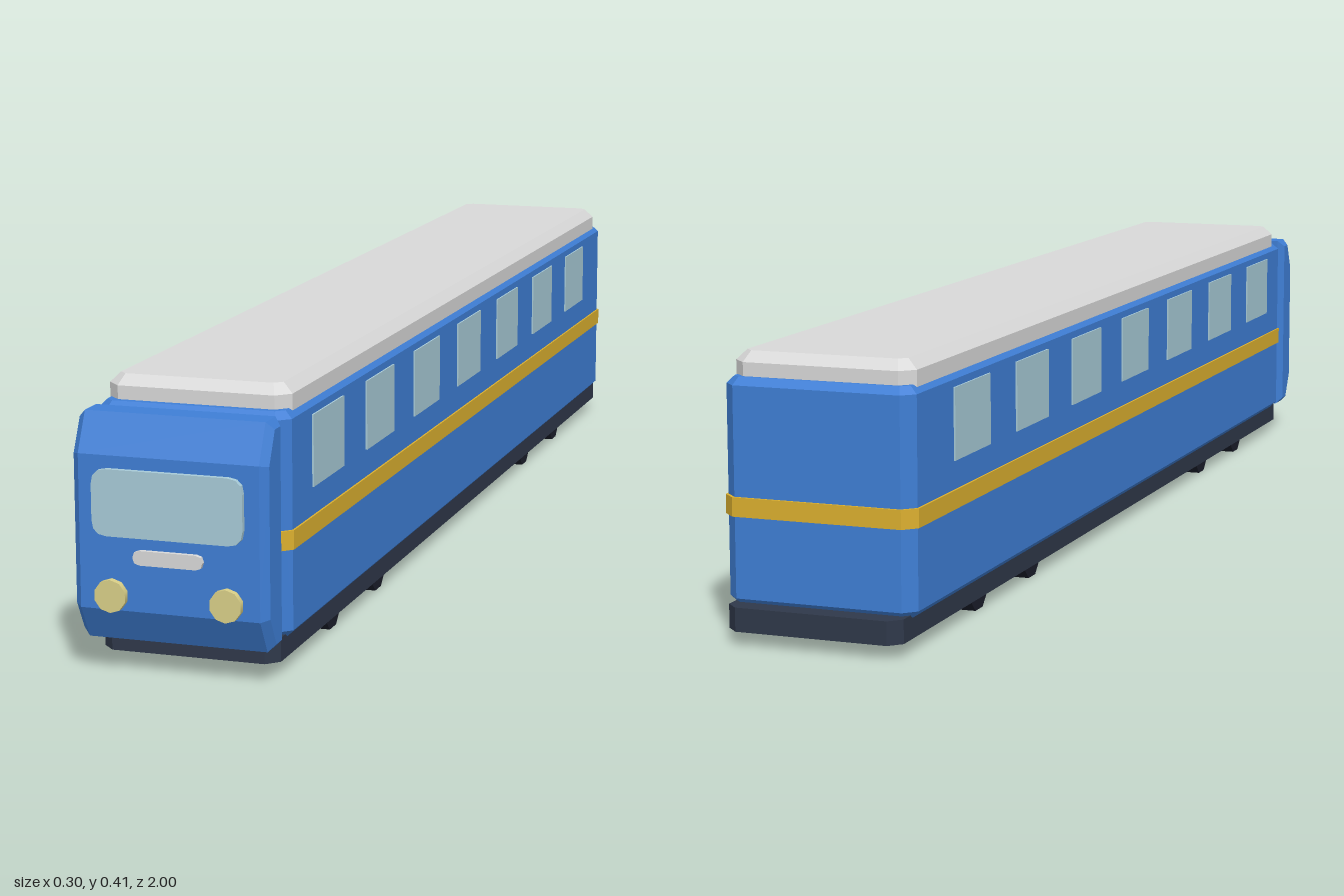
import * as THREE from 'three';

const mat = (name, color) => {
  const m = new THREE.MeshStandardMaterial({ color });
  m.name = name;
  return m;
};

// Rectangle outline with corners of radius r
function roundRect(w, h, r) {
  const s = new THREE.Shape(), x = w / 2, y = h / 2;
  s.moveTo(-x + r, -y);
  s.lineTo(x - r, -y);
  s.quadraticCurveTo(x, -y, x, -y + r);
  s.lineTo(x, y - r);
  s.quadraticCurveTo(x, y, x - r, y);
  s.lineTo(-x + r, y);
  s.quadraticCurveTo(-x, y, -x, y - r);
  s.lineTo(-x, -y + r);
  s.quadraticCurveTo(-x, -y, -x + r, -y);
  return s;
}

// Extrusion whose bevel stays inside the outline and the given total depth
function extrude(shape, depth, bevel, curveSegments) {
  const g = new THREE.ExtrudeGeometry(shape, {
    depth: depth - 2 * bevel, curveSegments, bevelEnabled: bevel > 0,
    bevelThickness: bevel, bevelSize: bevel, bevelOffset: -bevel, bevelSegments: 1,
  });
  return g.translate(0, 0, bevel);
}

// Horizontal slab with cut plan corners, from y0 to y1 and z0 to z1
function slab(width, y0, y1, z0, z1, corner, bevel) {
  return extrude(roundRect(width, z1 - z0, corner), y1 - y0, bevel, 1)
    .rotateX(-Math.PI / 2)
    .translate(0, y0, (z0 + z1) / 2);
}

export function createModel() {
  const group = new THREE.Group();
  group.name = 'railCoach';
  const blue = mat('bodyBlue', 0x3f7fd6);
  const grey = mat('roofGrey', 0xd9d9d9);
  const gold = mat('stripeGold', 0xdcb02f);
  const glass = mat('windowGlass', 0xa8cbd8);
  const lamp = mat('lampCream', 0xdad088);
  const dark = mat('chassisDark', 0x2f384a);
  const black = mat('wheelBlack', 0x1b1e2b);

  const add = (name, geometry, material, x = 0, y = 0, z = 0) => {
    const m = new THREE.Mesh(geometry, material);
    m.name = name;
    m.position.set(x, y, z);
    group.add(m);
    return m;
  };

  // Chassis, coach body, waist stripe and roof
  add('chassis', slab(0.268, 0.02, 0.055, -1, 0.925, 0.018, 0), dark);
  add('body', slab(0.29, 0.05, 0.378, -0.973, 0.903, 0.018, 0.011), blue);
  add('stripe', slab(0.296, 0.18, 0.208, -0.977, 0.907, 0.019, 0), gold);
  add('roof', slab(0.276, 0.355, 0.413, -0.957, 0.882, 0.02, 0.015), grey);

  // Cab front: side profile extruded across the width
  const profile = new THREE.Shape([
    [0.922, 0.05], [0.962, 0.05], [0.99, 0.1], [0.99, 0.322], [0.962, 0.378], [0.922, 0.378],
  ].map(([z, y]) => new THREE.Vector2(z, y)));
  add('cab', extrude(profile, 0.29, 0.011, 1).rotateY(-Math.PI / 2), blue, 0.145);

  // Cab details
  add('windscreen', extrude(roundRect(0.224, 0.096, 0.022), 0.009, 0, 3), glass, 0, 0.256, 0.989);
  add('nosePlate', extrude(roundRect(0.104, 0.021, 0.0104), 0.008, 0, 2), grey, 0, 0.18, 0.989);
  const lampShape = new THREE.CylinderGeometry(0.024, 0.024, 0.011, 10).rotateX(Math.PI / 2);
  for (const s of [1, -1]) add('headlamp', lampShape, lamp, s * 0.086, 0.122, 0.9945);

  // Side windows
  const pane = new THREE.BoxGeometry(0.006, 0.106, 0.138);
  for (const s of [1, -1])
    for (let i = 0; i < 7; i++) add('sideWindow', pane, glass, s * 0.1445, 0.303, 0.731 - i * 0.2472);

  // Eight-sided wheels, flat side down
  const wheel = new THREE.CylinderGeometry(0.0379, 0.0379, 0.035, 8)
    .toNonIndexed().rotateY(Math.PI / 8).rotateZ(Math.PI / 2);
  wheel.computeVertexNormals();
  for (const s of [1, -1])
    for (const z of [0.659, 0.437, -0.459, -0.683]) add('wheel', wheel, black, s * 0.11, 0.035, z);

  return group;
}
